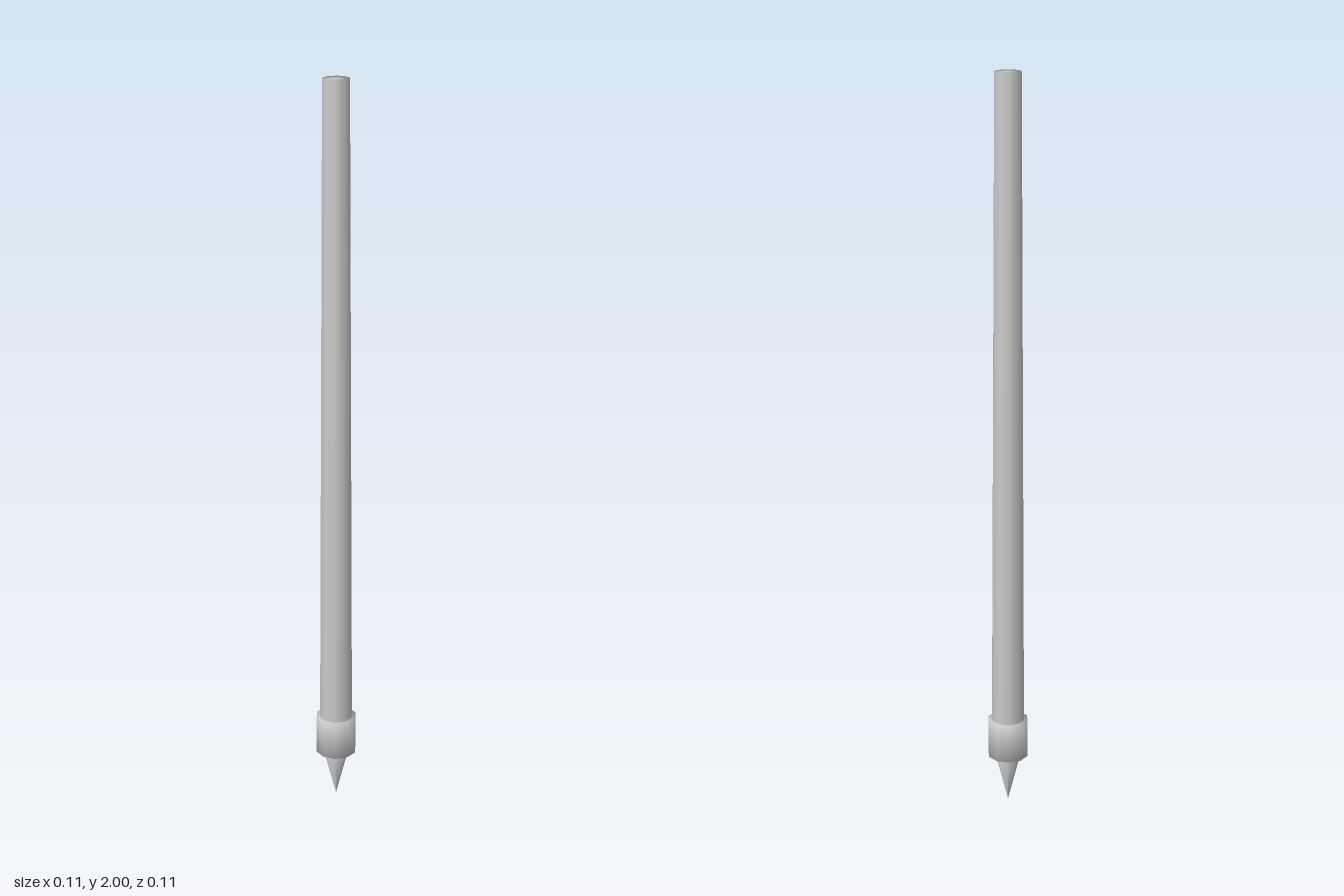
import * as THREE from 'three';

const SIDES = 10;
const material = new THREE.MeshStandardMaterial({ color: 0xcccccc });

// Smooth-shaded round part from a [radius, height] profile, listed bottom to top
function turned(name, profile) {
  const points = profile.map(([r, y]) => new THREE.Vector2(r, y));
  const mesh = new THREE.Mesh(new THREE.LatheGeometry(points, SIDES), material);
  mesh.name = name;
  return mesh;
}

export function createModel() {
  const group = new THREE.Group();
  group.name = 'pointedStaff';

  // Spike at the foot
  group.add(turned('tip', [[0, 0], [0.035, 0.138], [0, 0.138]]));

  // Collar joining spike and shaft
  group.add(turned('collar', [[0, 0.138], [0.0555, 0.138], [0.0555, 0.245], [0, 0.245]]));

  // Long shaft, tapering towards the top
  group.add(turned('shaft', [[0, 0.24], [0.0455, 0.24], [0.0355, 2], [0, 2]]));

  return group;
}
